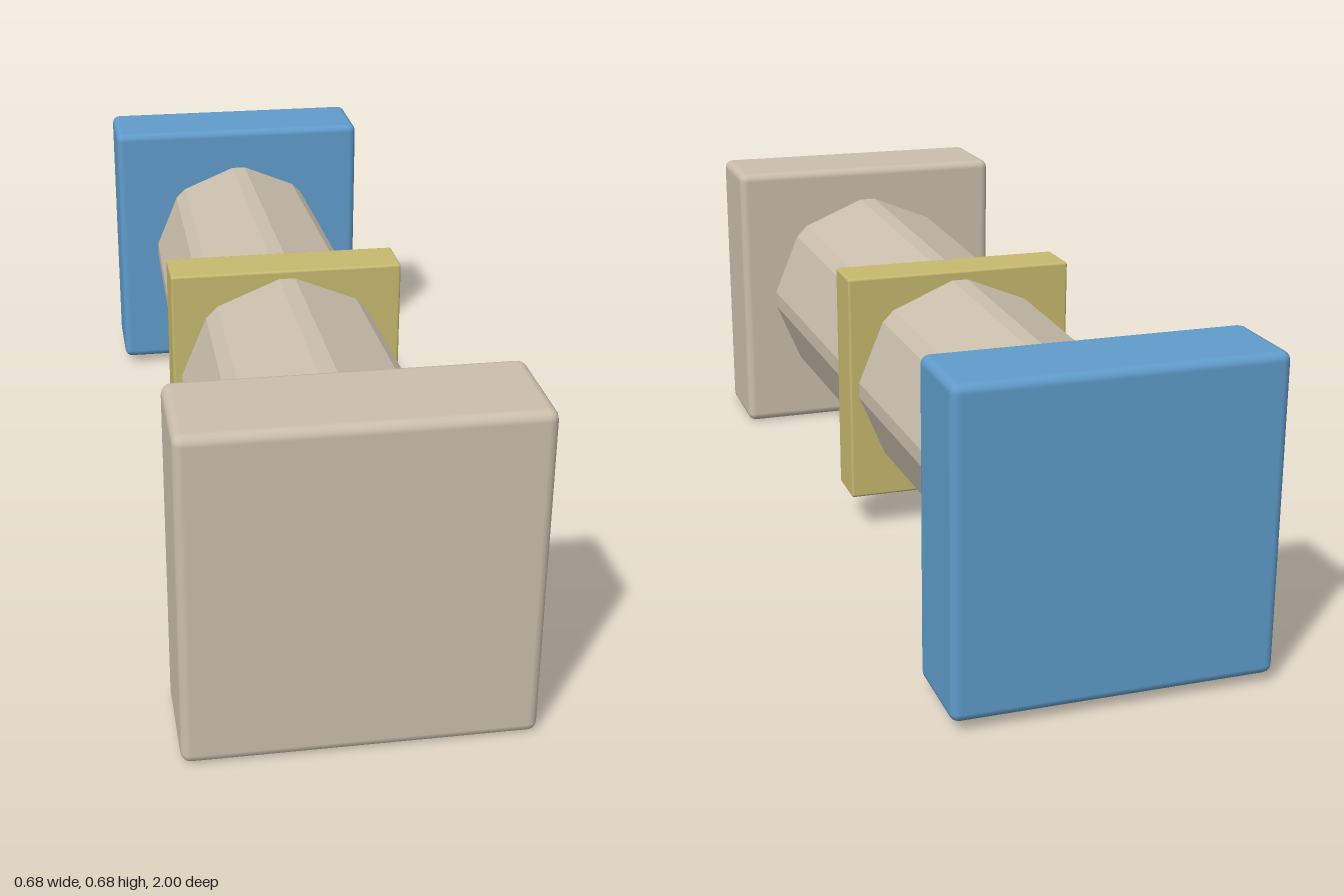
import * as THREE from 'three';
import { RoundedBoxGeometry } from 'three/addons/geometries/RoundedBoxGeometry.js';

const CENTER_Y = 0.343;

function material(name, color) {
  const m = new THREE.MeshStandardMaterial({ color });
  m.name = name;
  return m;
}

// Square block with softened edges, spanning zBack..zFront
function block(name, size, zBack, zFront, bevel, mat) {
  const geo = new RoundedBoxGeometry(size, size, zFront - zBack, 2, bevel);
  const mesh = new THREE.Mesh(geo, mat);
  mesh.name = name;
  mesh.position.set(0, CENTER_Y, (zFront + zBack) / 2);
  return mesh;
}

// Tapered octagonal prism along z, corners at top and sides, each corner chamfered
function taperedShaft(rings, chamferAngle) {
  const angles = [];
  for (let i = 0; i < 8; i++) {
    const a = (i * Math.PI) / 4;
    angles.push(a - chamferAngle, a + chamferAngle);
  }
  const n = angles.length;
  const positions = [];
  const indices = [];
  for (const { r, z } of rings) {
    for (const a of angles) positions.push(r * Math.cos(a), r * Math.sin(a), z);
  }
  for (let j = 0; j < rings.length - 1; j++) {
    for (let i = 0; i < n; i++) {
      const a = j * n + i;
      const b = j * n + ((i + 1) % n);
      indices.push(a, b, b + n, a, b + n, a + n);
    }
  }
  // End caps
  const last = (rings.length - 1) * n;
  for (let i = 1; i < n - 1; i++) {
    indices.push(0, i + 1, i, last, last + i, last + i + 1);
  }
  const geo = new THREE.BufferGeometry();
  geo.setAttribute('position', new THREE.Float32BufferAttribute(positions, 3));
  geo.setIndex(indices);
  const flat = geo.toNonIndexed();
  flat.computeVertexNormals();
  return flat;
}

export function createModel() {
  const group = new THREE.Group();
  group.name = 'shaftWithEndBlocks';

  const stone = material('warm stone', 0xcabfac);
  const blue = material('blue', 0x609ccb);
  const gold = material('muted gold', 0xc6b96e);

  // End blocks
  group.add(block('frontBlock', 0.684, 0.765, 1, 0.02, stone));
  group.add(block('backBlock', 0.644, -1, -0.8, 0.018, blue));

  // Middle collar
  group.add(block('collar', 0.52, -0.047, 0.067, 0.006, gold));

  // Shaft, narrowing towards the back
  const shaft = new THREE.Mesh(
    taperedShaft([{ r: 0.21, z: -0.803 }, { r: 0.223, z: -0.79 }, { r: 0.258, z: 0.78 }], 0.075),
    stone
  );
  shaft.name = 'shaft';
  shaft.position.y = CENTER_Y;
  group.add(shaft);

  return group;
}
